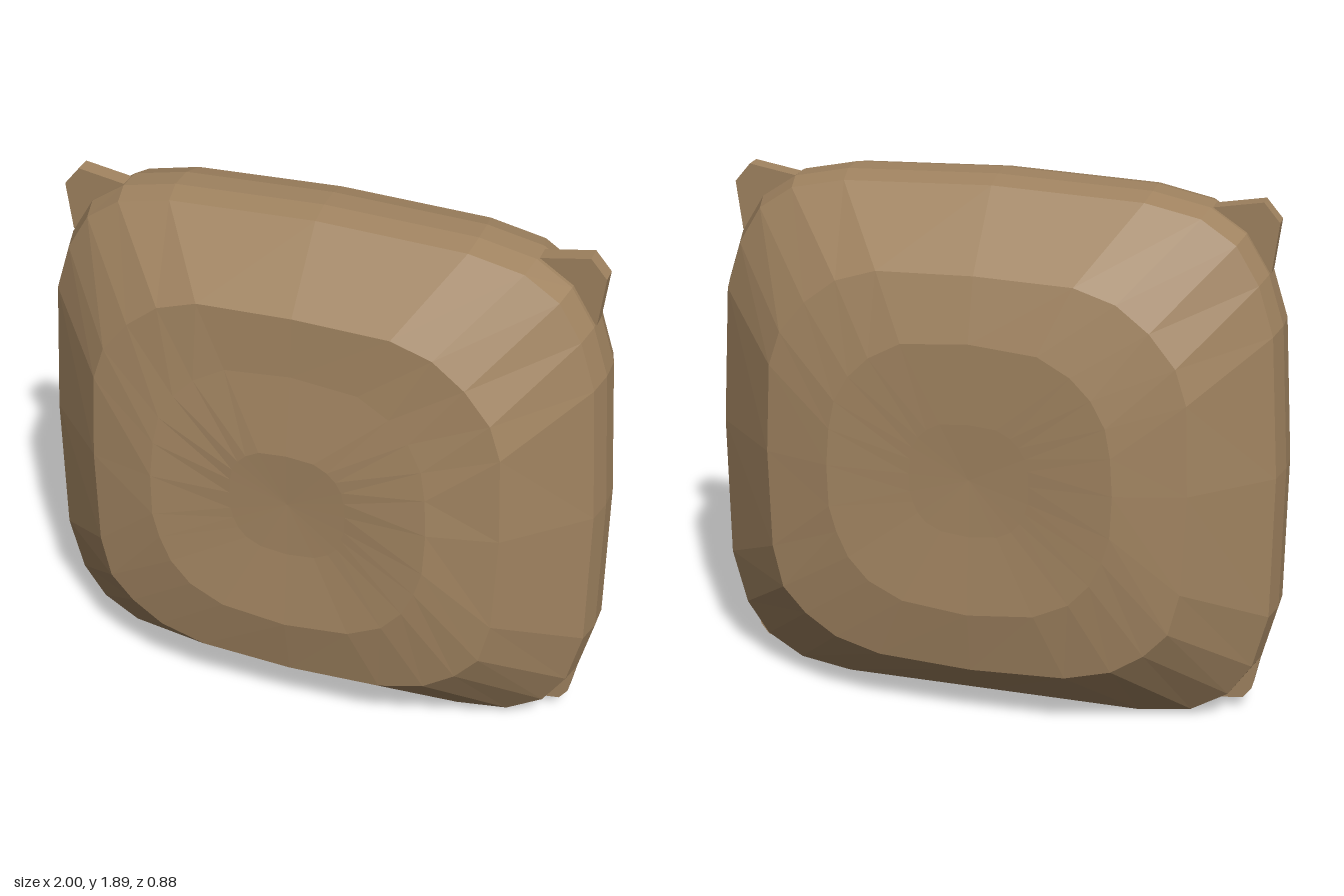
import * as THREE from 'three';

// Right halves of the cross-sections, from top centre to bottom centre (x, y)
const SEAM = [[0, 1.89], [0.52, 1.87], [0.71, 1.83], [0.83, 1.75], [0.91, 1.62], [0.965, 1.45], [1, 0.95],
  [1, 0.43], [0.95, 0.23], [0.87, 0.11], [0.74, 0.03], [0.55, 0], [0, 0]];
const SHOULDER = [[0, 1.63], [0.33, 1.62], [0.47, 1.575], [0.58, 1.49], [0.67, 1.38], [0.71, 1.26], [0.725, 0.95],
  [0.715, 0.6], [0.68, 0.45], [0.6, 0.36], [0.49, 0.285], [0.33, 0.24], [0, 0.225]];
const CROWN = [[0, 1.42], [0.23, 1.4], [0.34, 1.34], [0.41, 1.27], [0.46, 1.18], [0.48, 1.08], [0.49, 0.95],
  [0.485, 0.8], [0.46, 0.71], [0.42, 0.62], [0.35, 0.54], [0.23, 0.48], [0, 0.455]];

// Full closed ring: scaled about height cy, with depth given by a rule of y
function ring(half, zOf, sx = 1, sy = 1, cy = 0) {
  const right = half.map(([x, y]) => [x * sx, cy + (y - cy) * sy, zOf(y)]);
  const left = right.slice(1, -1).reverse().map(([x, y, z]) => [-x, y, z]);
  return [...right, ...left];
}

// Rings of one face, from its centre out to the seam; sag lowers the upper half
function faceRings(side, crownZ, sag, dimple) {
  const crown = (y) => side * (crownZ - sag * ((y - 0.455) / 0.965) ** 2);
  return [
    ring(CROWN, () => side * (dimple - 0.008), 0, 0, 0.94),
    ring(CROWN, () => side * dimple, 0.42, 0.42, 0.94),
    ring(CROWN, crown),
    ring(SHOULDER, (y) => side * (0.4 - 0.055 * (y - 0.225) / 1.405)),
    ring(SEAM, () => side * 0.125, 0.978, 0.99),
    ring(SEAM, () => side * 0.045),
  ];
}

function cushionGeometry() {
  const rings = [...faceRings(1, 0.445, 0.085, 0.41), ...faceRings(-1, 0.44, 0.03, 0.415).reverse()];
  const n = rings[0].length;
  const index = [];
  for (let i = 0; i < rings.length - 1; i++) {
    for (let j = 0; j < n; j++) {
      const a = i * n + j, b = i * n + (j + 1) % n;
      const c = a + n, d = b + n;
      if (i > 0) index.push(a, b, d); // collapsed at the front centre
      if (i < rings.length - 2) index.push(a, d, c); // collapsed at the back centre
      else continue;
    }
  }
  const geo = new THREE.BufferGeometry();
  geo.setAttribute('position', new THREE.Float32BufferAttribute(rings.flat(2), 3));
  geo.setIndex(index);
  geo.computeVertexNormals();
  return geo;
}

// Flat corner tab, its inner point buried in the cushion
function tabGeometry(outline, mirror) {
  const pts = outline.map(([x, y]) => new THREE.Vector2(x * mirror, y));
  const geo = new THREE.ExtrudeGeometry(new THREE.Shape(pts), { depth: 0.06, bevelEnabled: false });
  return geo.translate(0, 0, -0.03);
}

export function createModel() {
  const group = new THREE.Group();
  group.name = 'pillow';
  const fabric = new THREE.MeshStandardMaterial({ color: 0xa08360, flatShading: true });

  const add = (name, geo) => {
    const mesh = new THREE.Mesh(geo, fabric);
    mesh.name = name;
    group.add(mesh);
  };

  add('cushion', cushionGeometry());

  // Corner tabs
  const upper = [[0.71, 1.825], [0.88, 1.855], [0.935, 1.79], [0.915, 1.62], [0.78, 1.68]];
  const lower = [[0.74, 0.03], [0.89, 0.05], [0.92, 0.09], [0.95, 0.24], [0.8, 0.18]];
  for (const [side, mirror] of [['left', 1], ['right', -1]]) {
    add(`${side}UpperTab`, tabGeometry(upper, mirror));
    add(`${side}LowerTab`, tabGeometry(lower, mirror));
  }
  return group;
}
